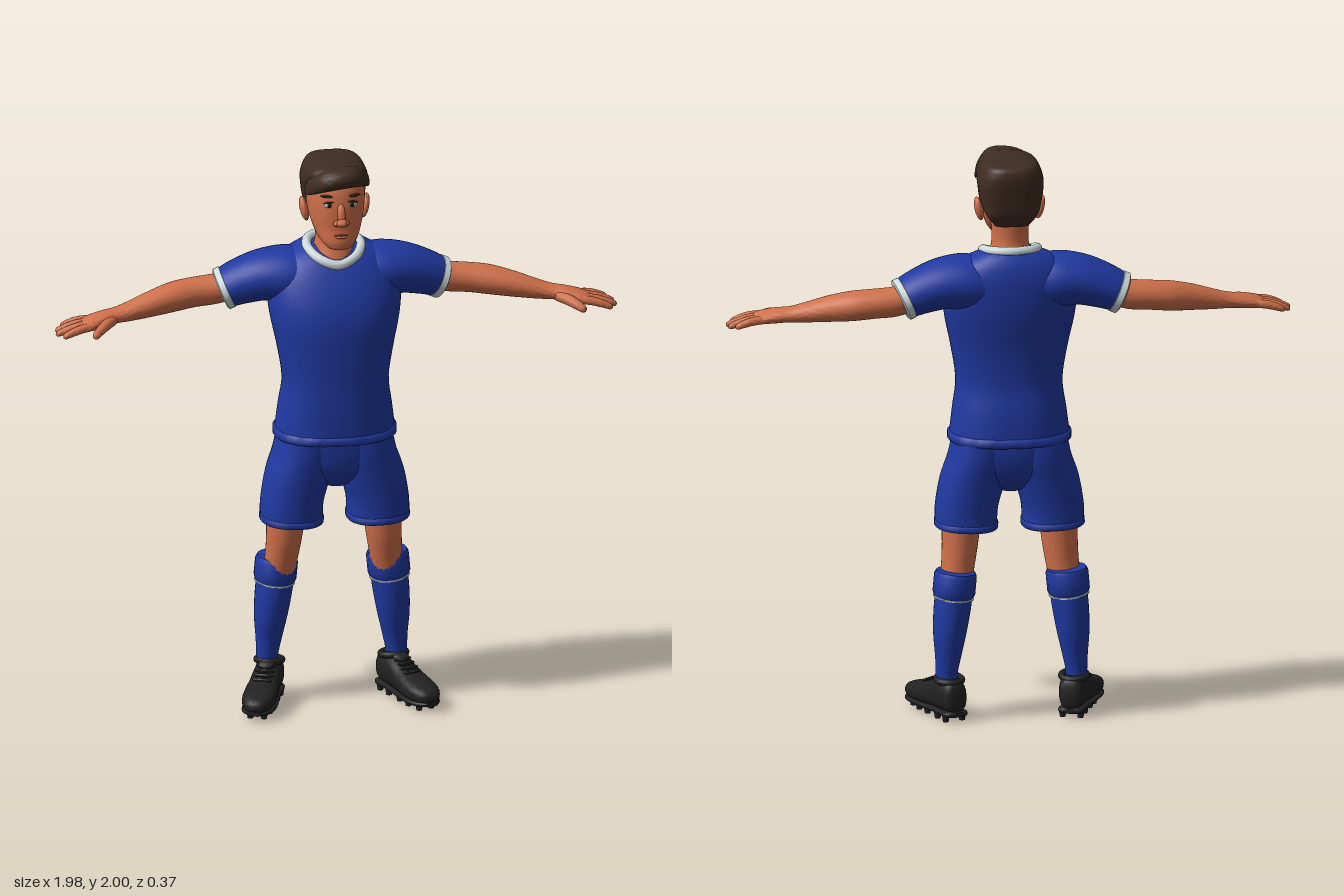
import * as THREE from 'three';
import { toCreasedNormals } from 'three/addons/utils/BufferGeometryUtils.js';

const V3 = (x, y, z) => new THREE.Vector3(x, y, z);
const mat = (name, color) => Object.assign(new THREE.MeshStandardMaterial({ color }), { name });

// Catmull-Rom refinement of ring rows
function refine(rows, sub) {
  const out = [];
  const at = i => rows[Math.max(0, Math.min(rows.length - 1, i))];
  for (let i = 0; i < rows.length - 1; i++)
    for (let s = 0; s < sub; s++) {
      const t = s / sub;
      out.push(at(i).map((b, k) => {
        const a = at(i - 1)[k], c = at(i + 1)[k], d = at(i + 2)[k];
        return b + 0.5 * t * (c - a + t * (2 * a - 5 * b + 4 * c - d + t * (3 * (b - c) + d - a)));
      }));
    }
  out.push(rows[rows.length - 1]);
  return out;
}

// Skin superelliptic rings [x, y, z, radius along ref, radius across]
function sweep(rows, ref, { dir = null, n = 2, seg = 32, sub = 4, rib = 0 } = {}) {
  const rings = sub > 1 ? refine(rows, sub) : rows;
  const pos = [], idx = [];
  const c = rings.map(r => V3(r[0], r[1], r[2]));
  const pw = v => Math.sign(v) * Math.pow(Math.abs(v), 2 / n);
  rings.forEach((r, i) => {
    const T = dir ? dir.clone().normalize()
      : c[Math.min(i + 1, c.length - 1)].clone().sub(c[Math.max(i - 1, 0)]).normalize();
    const V = T.clone().cross(ref).normalize(), U = V.clone().cross(T);
    for (let j = 0; j < seg; j++) {
      const a = j / seg * Math.PI * 2, k = 1 + (j % 2 ? -rib : rib);
      const p = c[i].clone().addScaledVector(U, pw(Math.cos(a)) * r[3] * k)
        .addScaledVector(V, pw(Math.sin(a)) * r[4] * k);
      pos.push(p.x, p.y, p.z);
    }
  });
  const last = rings.length - 1, s0 = rings.length * seg;
  for (const q of [c[0], c[last]]) pos.push(q.x, q.y, q.z);
  for (let j = 0; j < seg; j++) {
    const k = (j + 1) % seg;
    for (let i = 0; i < last; i++) {
      const a = i * seg + j, b = i * seg + k;
      idx.push(a, b, b + seg, a, b + seg, a + seg);
    }
    idx.push(s0, k, j, s0 + 1, last * seg + j, last * seg + k);
  }
  const g = new THREE.BufferGeometry();
  g.setAttribute('position', new THREE.Float32BufferAttribute(pos, 3));
  g.setIndex(idx);
  g.computeVertexNormals();
  return g;
}

// Raised closed band between two centres
function band(p, q, u, v, e, ref, opt = {}) {
  const rows = [[0, 0], [0.15, e], [0.85, e], [1, 0]].map(([t, d]) =>
    [...p.map((a, i) => a + (q[i] - a) * t), u + d, v + d]);
  return sweep(rows, ref, { sub: 1, dir: V3(...q).sub(V3(...p)), ...opt });
}

function ball(x, y, z, rx, ry, rz, rotX = 0, rotZ = 0) {
  return new THREE.SphereGeometry(1, 20, 14).scale(rx, ry, rz).rotateX(rotX).rotateZ(rotZ).translate(x, y, z);
}

function mirrored(geo) {
  const g = geo.clone().scale(-1, 1, 1), a = g.index.array;
  for (let i = 0; i < a.length; i += 3) [a[i], a[i + 1]] = [a[i + 1], a[i]];
  return g;
}

export function createModel() {
  const model = new THREE.Group();
  model.name = 'footballPlayer';
  const skin = mat('skin', 0xd0704a), blue = mat('kitBlue', 0x2039a2), white = mat('trimWhite', 0xcfdadd);
  const hair = mat('hairBrown', 0x3e2c21), black = mat('bootBlack', 0x222222);
  const dark = mat('eyeDark', 0x1e1512), lip = mat('lipBrown', 0xa04f36);
  const X = V3(1, 0, 0), Y = V3(0, 1, 0), Z = V3(0, 0, 1);
  const add = (name, geo, m) => {
    const mesh = new THREE.Mesh(toCreasedNormals(geo, 0.9), m);
    mesh.name = name;
    model.add(mesh);
  };
  const pair = (name, geo, m) => {
    add(name + 'Left', geo, m);
    add(name + 'Right', mirrored(geo), m);
  };

  // Shirt body, hem and collar
  add('shirtBody', sweep([
    [0, 0.99, -0.01, 0.163, 0.212], [0, 1.1, -0.005, 0.16, 0.198], [0, 1.2, 0.003, 0.152, 0.186],
    [0, 1.32, 0.001, 0.156, 0.204], [0, 1.42, -0.008, 0.163, 0.225], [0, 1.5, -0.022, 0.158, 0.233],
    [0, 1.58, -0.041, 0.139, 0.222], [0, 1.64, -0.055, 0.112, 0.175], [0, 1.678, -0.07, 0.075, 0.105],
  ], Z, { dir: Y, n: 2.3, seg: 48 }), blue);
  add('shirtHem', band([0, 0.988, -0.01], [0, 1.02, -0.01], 0.163, 0.211, 0.005, Z, { n: 2.3, seg: 48 }), blue);
  const collarPath = [[0, 1.628, 0.072], [0.06, 1.645, 0.05], [0.094, 1.67, -0.02], [0.075, 1.682, -0.095],
    [0, 1.685, -0.128], [-0.075, 1.682, -0.095], [-0.094, 1.67, -0.02], [-0.06, 1.645, 0.05]];
  add('collar', new THREE.TubeGeometry(
    new THREE.CatmullRomCurve3(collarPath.map(p => V3(...p)), true), 48, 0.017, 10, true), white);

  // Sleeves with cuffs
  pair('sleeve', sweep([
    [0.08, 1.55, -0.05, 0.09, 0.115], [0.16, 1.564, -0.055, 0.099, 0.122], [0.24, 1.563, -0.062, 0.089, 0.113],
    [0.32, 1.54, -0.071, 0.079, 0.099], [0.38, 1.514, -0.077, 0.069, 0.088],
  ], Y), blue);
  pair('sleeveCuff', band([0.363, 1.522, -0.076], [0.391, 1.51, -0.078], 0.066, 0.085, 0.008, Y), white);

  // Arms and hands
  pair('arm', sweep([
    [0.3, 1.54, -0.08, 0.054, 0.058], [0.4, 1.512, -0.088, 0.053, 0.057], [0.48, 1.504, -0.085, 0.052, 0.058],
    [0.56, 1.495, -0.072, 0.052, 0.062], [0.64, 1.482, -0.05, 0.045, 0.055], [0.72, 1.466, -0.03, 0.034, 0.045],
    [0.77, 1.458, -0.018, 0.027, 0.041], [0.82, 1.452, -0.004, 0.026, 0.048], [0.87, 1.444, 0.008, 0.021, 0.054],
    [0.895, 1.44, 0.012, 0.012, 0.046],
  ], Y, { dir: X }), skin);
  const tips = [[0.962, 1.422, -0.04], [0.984, 1.416, -0.008], [0.988, 1.414, 0.028], [0.968, 1.416, 0.068]];
  const digit = (name, a, b, r) => {
    const at = (t, lift, s) => [...a.map((v, i) => v + (b[i] - v) * t + (i === 1 ? lift : 0)), r * s, r * s];
    pair(name, sweep([at(0, 0, 1), at(0.4, 0.006, 1.05), at(0.75, 0.004, 0.9), at(0.95, 0, 0.65), at(1, 0, 0.15)],
      Y, { seg: 12, sub: 3 }), skin);
  };
  tips.forEach((t, i) => digit('finger' + (i + 1), [0.855, 1.444, -0.03 + i * 0.026], t, 0.0145));
  digit('thumb', [0.785, 1.45, 0.015], [0.865, 1.425, 0.112], 0.018);

  // Shorts
  add('shortsSeat', sweep([
    [0, 0.815, -0.01, 0.08, 0.05], [0, 0.87, -0.012, 0.122, 0.15], [0, 0.94, -0.015, 0.138, 0.198],
    [0, 1.03, -0.015, 0.14, 0.205],
  ], Z, { dir: Y, n: 2.3 }), blue);
  pair('shortsLeg', sweep([
    [0.152, 0.68, -0.01, 0.117, 0.108], [0.15, 0.75, -0.01, 0.12, 0.109], [0.128, 0.85, -0.012, 0.129, 0.114],
    [0.108, 0.93, -0.015, 0.138, 0.107], [0.1, 1.0, -0.015, 0.138, 0.1],
  ], Z, { dir: Y, n: 2.3 }), blue);
  pair('shortsHem', band([0.152, 0.674, -0.01], [0.151, 0.7, -0.01], 0.116, 0.107, 0.004, Z, { n: 2.3 }), blue);

  // Legs and socks
  pair('knee', sweep([
    [0.195, 0.45, -0.045, 0.055, 0.055], [0.184, 0.53, -0.032, 0.06, 0.058], [0.176, 0.6, -0.024, 0.067, 0.062],
    [0.17, 0.68, -0.02, 0.071, 0.067], [0.16, 0.77, -0.015, 0.075, 0.07],
  ], Z, { dir: Y }), skin);
  pair('sock', sweep([
    [0.225, 0.1, -0.07, 0.04, 0.037], [0.227, 0.16, -0.07, 0.042, 0.038], [0.222, 0.22, -0.07, 0.05, 0.045],
    [0.216, 0.3, -0.066, 0.067, 0.057], [0.208, 0.38, -0.063, 0.075, 0.064], [0.2, 0.45, -0.062, 0.075, 0.066],
  ], Z, { dir: Y }), blue);
  pair('sockCuff', band([0.202, 0.438, -0.063], [0.194, 0.526, -0.062], 0.075, 0.068, 0.006, Z,
    { seg: 48, rib: 0.01 }), blue);
  pair('sockStripe', band([0.2026, 0.431, -0.063], [0.202, 0.437, -0.063], 0.075, 0.068, 0.003, Z), white);

  // Boots, modelled along z and then turned outward
  const boot = (name, geo) => pair(name, geo.rotateY(0.36).translate(0.222, 0, -0.065), black);
  boot('bootUpper', sweep([
    [0, 0.075, -0.076, 0.02, 0.02], [0, 0.084, -0.066, 0.05, 0.038], [0, 0.09, -0.03, 0.06, 0.048],
    [0, 0.086, 0.03, 0.058, 0.05], [0, 0.073, 0.09, 0.047, 0.054], [0, 0.063, 0.15, 0.039, 0.059],
    [0, 0.057, 0.21, 0.032, 0.054], [0, 0.052, 0.25, 0.021, 0.034], [0, 0.05, 0.262, 0.006, 0.012],
  ], Y, { dir: Z, n: 2.5 }));
  boot('bootSole', sweep([
    [0, 0.028, -0.078, 0.008, 0.022], [0, 0.028, -0.06, 0.011, 0.045], [0, 0.028, 0.03, 0.011, 0.048],
    [0, 0.028, 0.15, 0.011, 0.06], [0, 0.028, 0.22, 0.011, 0.052], [0, 0.03, 0.26, 0.008, 0.022],
  ], Y, { dir: Z, n: 3 }));
  boot('bootCollar', new THREE.TorusGeometry(0.044, 0.012, 10, 28).rotateX(Math.PI / 2 - 0.12).translate(0, 0.142, -0.01));
  boot('bootTongue', ball(0, 0.143, 0.04, 0.03, 0.012, 0.03, 0.35));
  for (let i = 0; i < 4; i++)
    boot('lace' + (i + 1), ball(0, 0.137 - i * 0.009, 0.055 + i * 0.023, 0.034, 0.008, 0.007));
  for (const z of [-0.045, 0.015, 0.09, 0.15, 0.21])
    for (const s of [-1, 1])
      boot('stud', new THREE.CylinderGeometry(0.014, 0.01, 0.026, 10).translate(s * (z > 0.2 ? 0.024 : 0.032), 0.013, z));

  // Neck and head
  add('neck', sweep([
    [0, 1.62, -0.03, 0.09, 0.088], [0, 1.65, -0.031, 0.083, 0.08], [0, 1.68, -0.03, 0.072, 0.069],
    [0, 1.72, -0.03, 0.064, 0.064], [0, 1.8, -0.03, 0.068, 0.068],
  ], Z, { dir: Y }), skin);
  add('head', sweep([
    [0, 1.698, 0.085, 0.028, 0.028], [0, 1.707, 0.08, 0.052, 0.047], [0, 1.735, 0.058, 0.078, 0.069],
    [0, 1.775, 0.03, 0.1, 0.086], [0, 1.82, 0.01, 0.121, 0.097], [0, 1.87, 0.001, 0.127, 0.102],
    [0, 1.92, -0.006, 0.122, 0.102], [0, 1.955, -0.01, 0.1, 0.088], [0, 1.975, -0.01, 0.05, 0.045],
  ], Z, { dir: Y, n: 2.2 }), skin);
  pair('ear', ball(0.107, 1.815, -0.012, 0.015, 0.044, 0.03, -0.15, -0.2), skin);

  // Face
  add('noseBridge', ball(0, 1.835, 0.134, 0.014, 0.04, 0.017, -0.3), skin);
  add('noseTip', ball(0, 1.808, 0.149, 0.018, 0.016, 0.021), skin);
  pair('nostril', ball(0.016, 1.803, 0.137, 0.012, 0.011, 0.014), skin);
  pair('eyeWhite', ball(0.041, 1.866, 0.119, 0.018, 0.009, 0.006), white);
  pair('iris', ball(0.04, 1.866, 0.1235, 0.0075, 0.0085, 0.003), dark);
  pair('eyelid', ball(0.041, 1.876, 0.12, 0.02, 0.003, 0.006, 0, -0.1), dark);
  pair('eyebrow', ball(0.045, 1.897, 0.114, 0.026, 0.005, 0.008, 0, 0.12), hair);
  add('mouth', ball(0, 1.758, 0.133, 0.026, 0.003, 0.004), lip);
  add('lowerLip', ball(0, 1.75, 0.131, 0.02, 0.006, 0.007), skin);

  // Hair cap with swept fringe
  add('hairCap', sweep([
    [0, 1.77, -0.077, 0.034, 0.06], [0, 1.81, -0.085, 0.046, 0.09], [0, 1.85, -0.047, 0.092, 0.106],
    [0, 1.9, -0.042, 0.103, 0.113], [0, 1.93, -0.026, 0.122, 0.114], [0, 1.96, -0.01, 0.137, 0.107],
    [0, 1.985, -0.008, 0.126, 0.09], [0, 1.996, 0.005, 0.085, 0.055],
  ], Z, { dir: Y, n: 2.9, seg: 40 }), hair);
  add('hairFringe', sweep([
    [-0.114, 1.9, 0.045, 0.012, 0.012], [-0.1, 1.923, 0.075, 0.028, 0.032], [-0.06, 1.95, 0.108, 0.036, 0.05],
    [0, 1.963, 0.118, 0.037, 0.052], [0.06, 1.962, 0.104, 0.035, 0.048], [0.1, 1.938, 0.068, 0.024, 0.03],
    [0.113, 1.92, 0.045, 0.01, 0.012],
  ], Y, { dir: X }), hair);
  return model;
}
